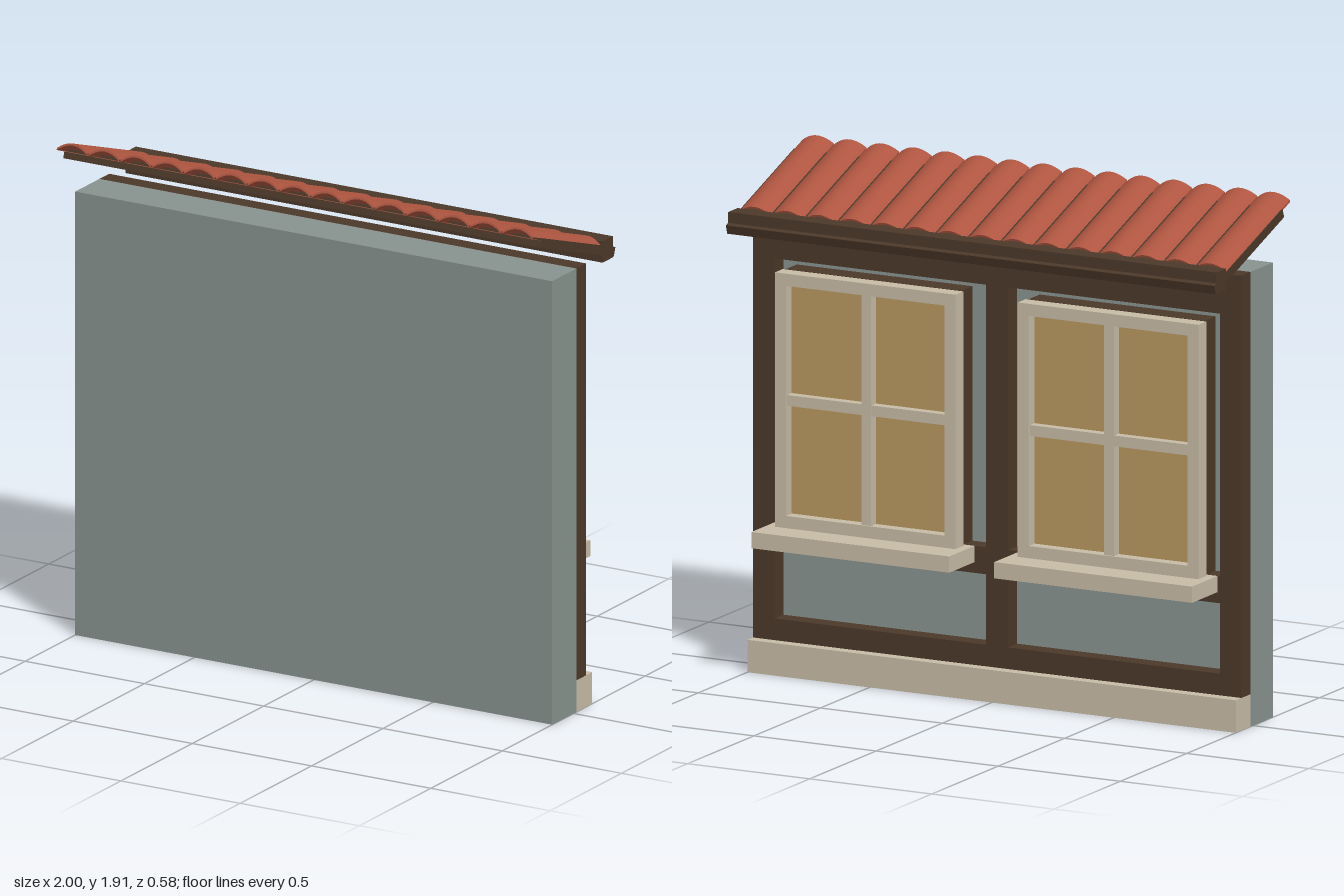
import * as THREE from 'three';

const mat = (name, color) => {
  const m = new THREE.MeshStandardMaterial({ color });
  m.name = name;
  return m;
};

export function createModel() {
  const plaster = mat('greyPlaster', 0x87928d);
  const timber = mat('darkTimber', 0x4b3829);
  const stone = mat('paleStone', 0xc6bba6);
  const clay = mat('clayRed', 0xae5540);
  const glass = mat('amberGlass', 0xb8965f);

  const model = new THREE.Group();
  model.name = 'wallSection';

  // Box given by its limits on each axis
  const box = (parent, name, material, [x0, x1], [y0, y1], [z0, z1]) => {
    const mesh = new THREE.Mesh(new THREE.BoxGeometry(x1 - x0, y1 - y0, z1 - z0), material);
    mesh.position.set((x0 + x1) / 2, (y0 + y1) / 2, (z0 + z1) / 2);
    mesh.name = name;
    parent.add(mesh);
    return mesh;
  };

  // Wall and plinth
  box(model, 'wall', plaster, [-1, 1], [0, 1.68], [-0.02, 0.15]);
  box(model, 'plinth', stone, [-1, 1], [0, 0.12], [-0.13, -0.02]);

  // Timber framing
  const depth = [-0.088, -0.02];
  for (const [a, b] of [[-1, -0.912], [-0.045, 0.045], [0.912, 1]])
    box(model, 'post', timber, [a, b], [0.12, 1.68], depth);
  for (const [a, b] of [[-0.912, -0.045], [0.045, 0.912]]) {
    box(model, 'bottomRail', timber, [a, b], [0.12, 0.2], depth);
    box(model, 'middleRail', timber, [a, b], [0.46, 0.56], depth);
    box(model, 'topRail', timber, [a, b], [1.53, 1.68], depth);
  }

  // Windows: timber lining, pale casement with cross bars, glass and sill
  for (const side of [-1, 1]) {
    const win = new THREE.Group();
    win.name = 'window';
    win.position.x = side * 0.497;
    model.add(win);
    const h = 0.37, bar = 0.045, y0 = 0.56, y1 = 1.5, front = [-0.167, -0.108];
    for (const s of [-1, 1]) {
      const lining = [s * 0.36, s * 0.31].sort((a, b) => a - b);
      box(win, 'lining', timber, lining, [y0, y1], [-0.104, -0.02]);
      const stile = [s * h, s * (h - bar)].sort((a, b) => a - b);
      box(win, 'stile', stone, stile, [y0, y1], front);
    }
    box(win, 'liningHead', timber, [-0.31, 0.31], [1.45, y1], [-0.104, -0.02]);
    box(win, 'casementBottom', stone, [bar - h, h - bar], [y0, y0 + bar], front);
    box(win, 'casementTop', stone, [bar - h, h - bar], [y1 - bar, y1], front);
    box(win, 'verticalBar', stone, [-0.02, 0.02], [y0 + bar, y1 - bar], [-0.16, -0.112]);
    box(win, 'crossBar', stone, [bar - h, h - bar], [1.01, 1.05], [-0.158, -0.112]);
    box(win, 'glass', glass, [bar - h, h - bar], [y0 + bar, y1 - bar], [-0.123, -0.115]);
    box(win, 'sill', stone, [-0.405, 0.405], [0.5, 0.56], [-0.28, -0.088]);
  }

  // Sloping roof board with the eaves beam
  const roof = new THREE.Group();
  roof.name = 'roof';
  roof.position.set(0, 1.758, -0.027);
  roof.rotation.x = -0.335;
  model.add(roof);
  box(roof, 'roofBoard', timber, [-1, 1], [-0.0175, 0.0175], [-0.275, 0.27]);
  box(model, 'eavesBeam', timber, [-1, 1], [1.65, 1.73], [-0.275, -0.203]);

  // Row of arched clay tiles
  const count = 15, pitch = 2 / count, half = 0.064, rise = 0.026, skin = 0.008, steps = 10;
  const shape = new THREE.Shape();
  const arch = (t, lift) => [t * half, lift + rise * (1 - t * t)];
  shape.moveTo(-half, 0);
  for (let i = 0; i <= steps; i++) shape.lineTo(...arch(1 - (2 * i) / steps, 0));
  for (let i = 0; i <= steps; i++) shape.lineTo(...arch((2 * i) / steps - 1, skin));
  const tileGeo = new THREE.ExtrudeGeometry(shape, { depth: 0.505, bevelEnabled: false });
  for (let i = 0; i < count; i++) {
    const tile = new THREE.Mesh(tileGeo, clay);
    tile.name = 'roofTile';
    tile.position.set(-1 + pitch * (i + 0.5), 0.009, -0.172);
    roof.add(tile);
  }
  return model;
}
